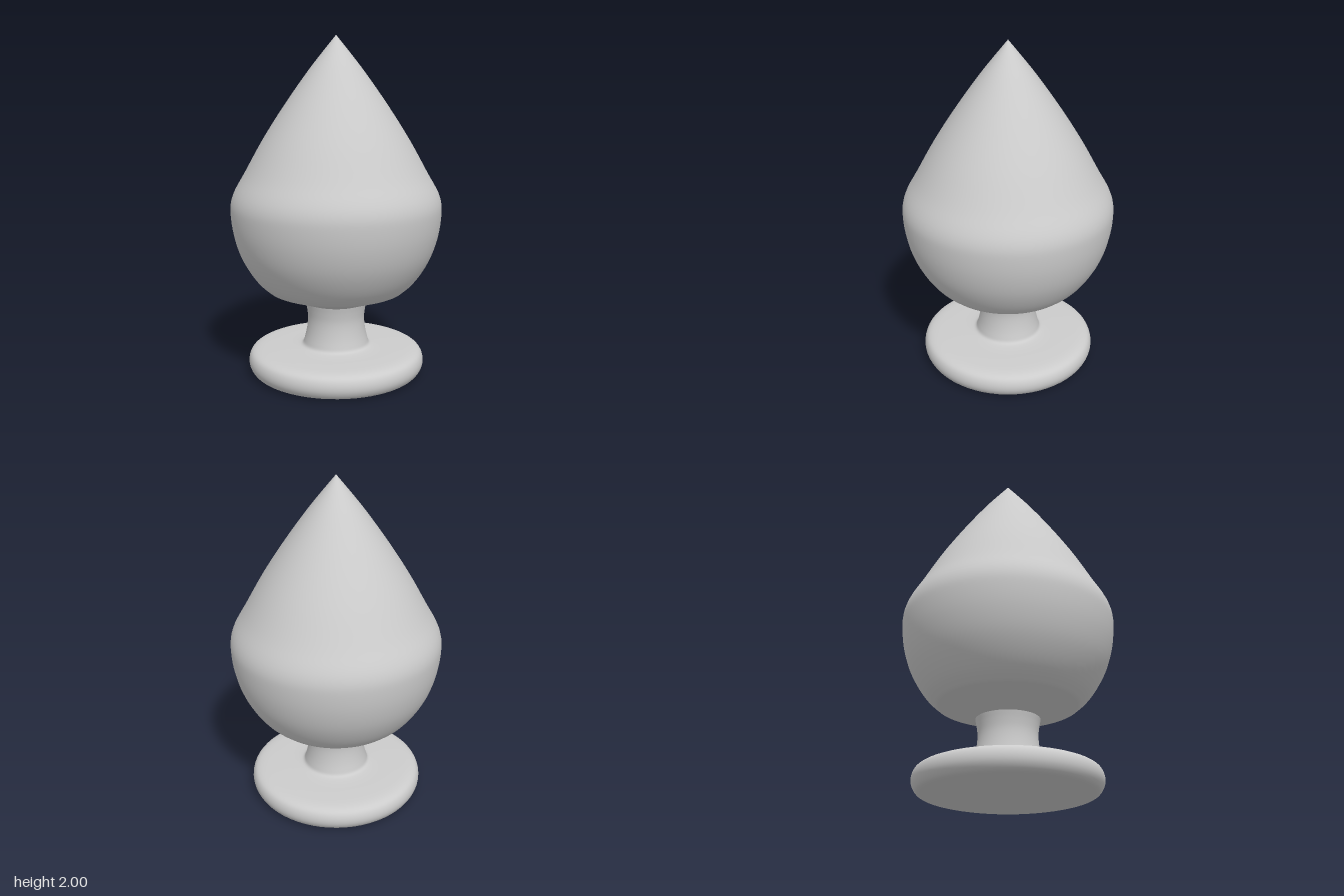
import * as THREE from 'three';

const SEGMENTS = 64;
const material = new THREE.MeshStandardMaterial({ color: 0xcccccc });

// Turns a bottom-to-top [radius, height] profile around the y axis
function turned(name, profile) {
  const points = profile.map(([r, y]) => new THREE.Vector2(r, y));
  const mesh = new THREE.Mesh(new THREE.LatheGeometry(points, SEGMENTS), material);
  mesh.name = name;
  return mesh;
}

// Smooth curve through a few profile points
function smooth(profile, divisions) {
  const curve = new THREE.CatmullRomCurve3(
    profile.map(([r, y]) => new THREE.Vector3(r, y, 0)), false, 'centripetal');
  return curve.getPoints(divisions).map(p => [p.x, p.y]);
}

export function createModel() {
  const model = new THREE.Group();
  model.name = 'turnedFinial';

  // Flat underside of the foot
  model.add(turned('footUnderside', [[0, 0], [0.46, 0]]));

  // Rounded disc foot flowing into the waisted stem
  model.add(turned('footAndStem', smooth([
    [0.46, 0], [0.5, 0.013], [0.524, 0.05], [0.526, 0.09], [0.51, 0.125],
    [0.475, 0.143], [0.38, 0.152], [0.24, 0.158], [0.203, 0.168],
    [0.19, 0.2], [0.175, 0.27], [0.17, 0.335], [0.176, 0.39], [0.184, 0.43],
  ], 52)));

  // Sloped underside and round belly of the bulb
  model.add(turned('bulb', [
    [0.184, 0.43], [0.29, 0.47], [0.395, 0.508],
    ...smooth([
      [0.41, 0.515], [0.465, 0.565], [0.523, 0.645], [0.573, 0.745],
      [0.607, 0.865], [0.62, 0.98], [0.617, 1.04], [0.598, 1.1],
      [0.536, 1.21], [0.43, 1.4], [0.302, 1.6], [0.16, 1.8], [0.08, 1.902], [0, 2],
    ], 56),
  ]));

  return model;
}
